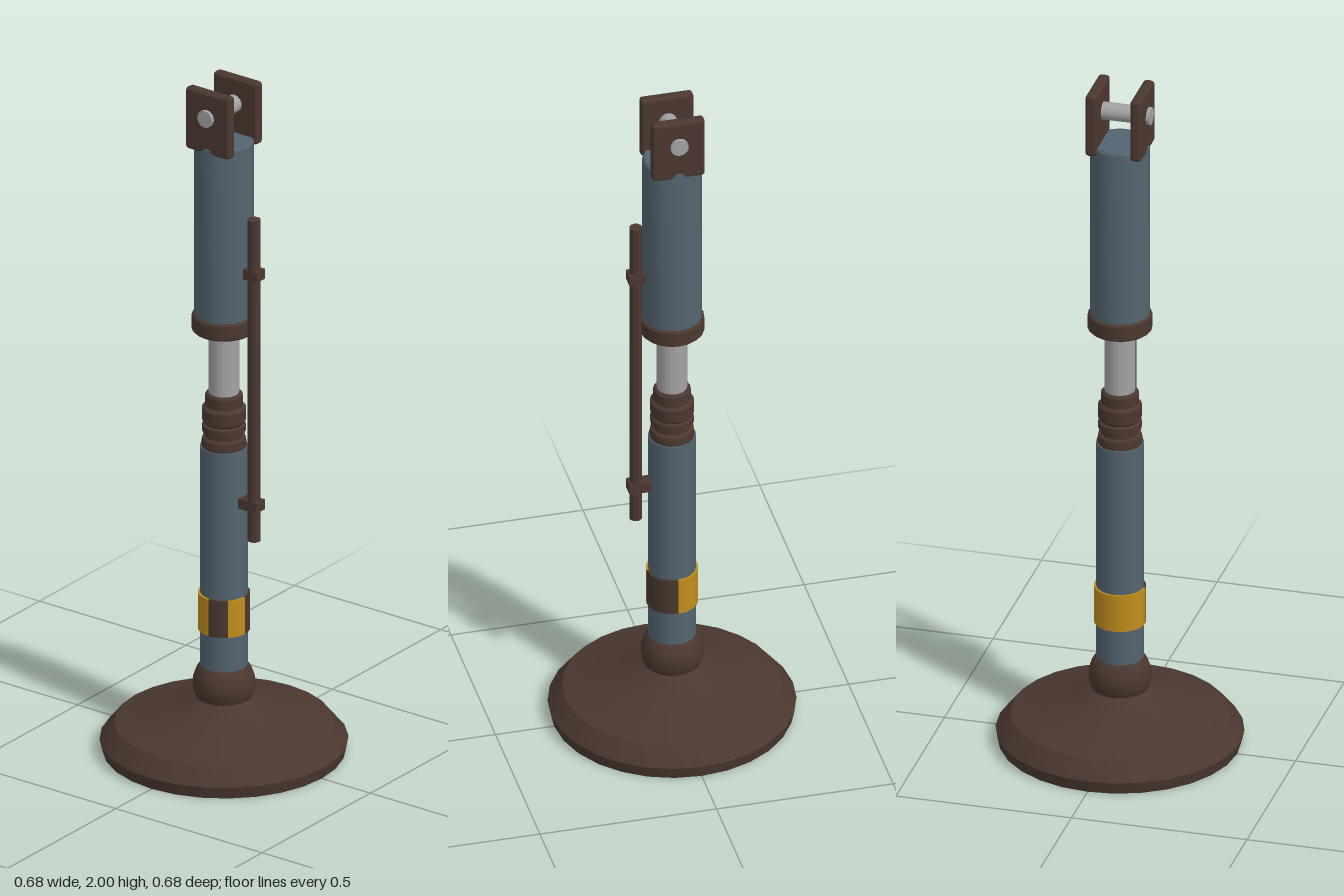
import * as THREE from 'three';
import { toCreasedNormals } from 'three/addons/utils/BufferGeometryUtils.js';
import { RoundedBoxGeometry } from 'three/addons/geometries/RoundedBoxGeometry.js';

const material = (name, color) => {
  const m = new THREE.MeshStandardMaterial({ color });
  m.name = name;
  return m;
};

export function createModel() {
  const brown = material('darkBrown', 0x4b382f);
  const blue = material('steelBlue', 0x536470);
  const grey = material('polishedGrey', 0xa3a3a3);
  const yellow = material('warningYellow', 0xc08d1c);

  const model = new THREE.Group();
  model.name = 'supportStrut';

  const add = (name, geometry, mat, x = 0, y = 0, z = 0, parent = model) => {
    const mesh = new THREE.Mesh(geometry, mat);
    mesh.name = name;
    mesh.position.set(x, y, z);
    parent.add(mesh);
    return mesh;
  };
  // Turned part from [radius, height] pairs, listed bottom to top
  const turned = (name, profile, sides, mat) => {
    const points = profile.map(([r, y]) => new THREE.Vector2(r, y));
    add(name, toCreasedNormals(new THREE.LatheGeometry(points, sides), 0.5), mat);
  };
  // Upright cylinder between two heights
  const column = (name, r, y0, y1, mat, x = 0, sides = 20, parent = model) =>
    add(name, new THREE.CylinderGeometry(r, r, y1 - y0, sides), mat, x, (y0 + y1) / 2, 0, parent);

  // Foot pad and ball joint
  turned('footPad', [
    [0, 0], [0.334, 0], [0.342, 0.035], [0.302, 0.084], [0.143, 0.125], [0.075, 0.166], [0, 0.166],
  ], 28, brown);
  add('ballJoint', new THREE.SphereGeometry(0.087, 20, 14), brown, 0, 0.203, 0);

  // Lower tube
  column('lowerTube', 0.066, 0.22, 0.915, blue);

  // Warning band: [start, sweep] in eighths of a turn, measured from the front
  const band = new THREE.Group();
  band.name = 'warningBand';
  model.add(band);
  const sectors = [[0, 1, brown], [1, 1, yellow], [2, 2, brown], [4, 4, yellow]];
  for (const [start, sweep, mat] of sectors) {
    const a = Math.PI / 4;
    add('bandSector',
      new THREE.CylinderGeometry(0.072, 0.072, 0.11, sweep * 3, 1, false, start * a, sweep * a),
      mat, 0, 0.42, 0, band);
  }

  // Ribbed seal, piston rod and gland collar
  turned('ribbedSeal', [
    [0, 0.905], [0.06, 0.905], [0.063, 0.92], [0.06, 0.94], [0.052, 0.945], [0.052, 0.955],
    [0.06, 0.96], [0.06, 0.98], [0.054, 0.985], [0.06, 0.992], [0.061, 1.03], [0.052, 1.038],
    [0.052, 1.068], [0.047, 1.075], [0, 1.075],
  ], 20, brown);
  column('pistonRod', 0.042, 1.05, 1.28, grey);
  turned('glandCollar', [
    [0, 1.262], [0.084, 1.262], [0.089, 1.267], [0.089, 1.308], [0.084, 1.313], [0, 1.313],
  ], 20, brown);

  // Upper tube
  turned('upperTube', [
    [0, 1.3], [0.082, 1.3], [0.082, 1.83], [0.077, 1.837], [0, 1.837],
  ], 20, blue);

  // Fork lugs and cross pin
  for (const side of [1, -1]) {
    add('forkLug', new RoundedBoxGeometry(0.15, 0.185, 0.032, 2, 0.01), brown, 0, 1.9075, side * 0.064);
  }
  add('crossPin', new THREE.CylinderGeometry(0.025, 0.025, 0.18, 16), grey, 0, 1.925, 0)
    .rotation.x = Math.PI / 2;

  // Side line with its two clamps
  const line = new THREE.Group();
  line.name = 'sideLine';
  model.add(line);
  column('linePipe', 0.018, 0.655, 1.62, brown, 0.103, 12, line);
  for (const y of [0.762, 1.455]) {
    add('lineClamp', new THREE.BoxGeometry(0.07, 0.03, 0.04), brown, 0.09, y, 0, line);
  }

  return model;
}
